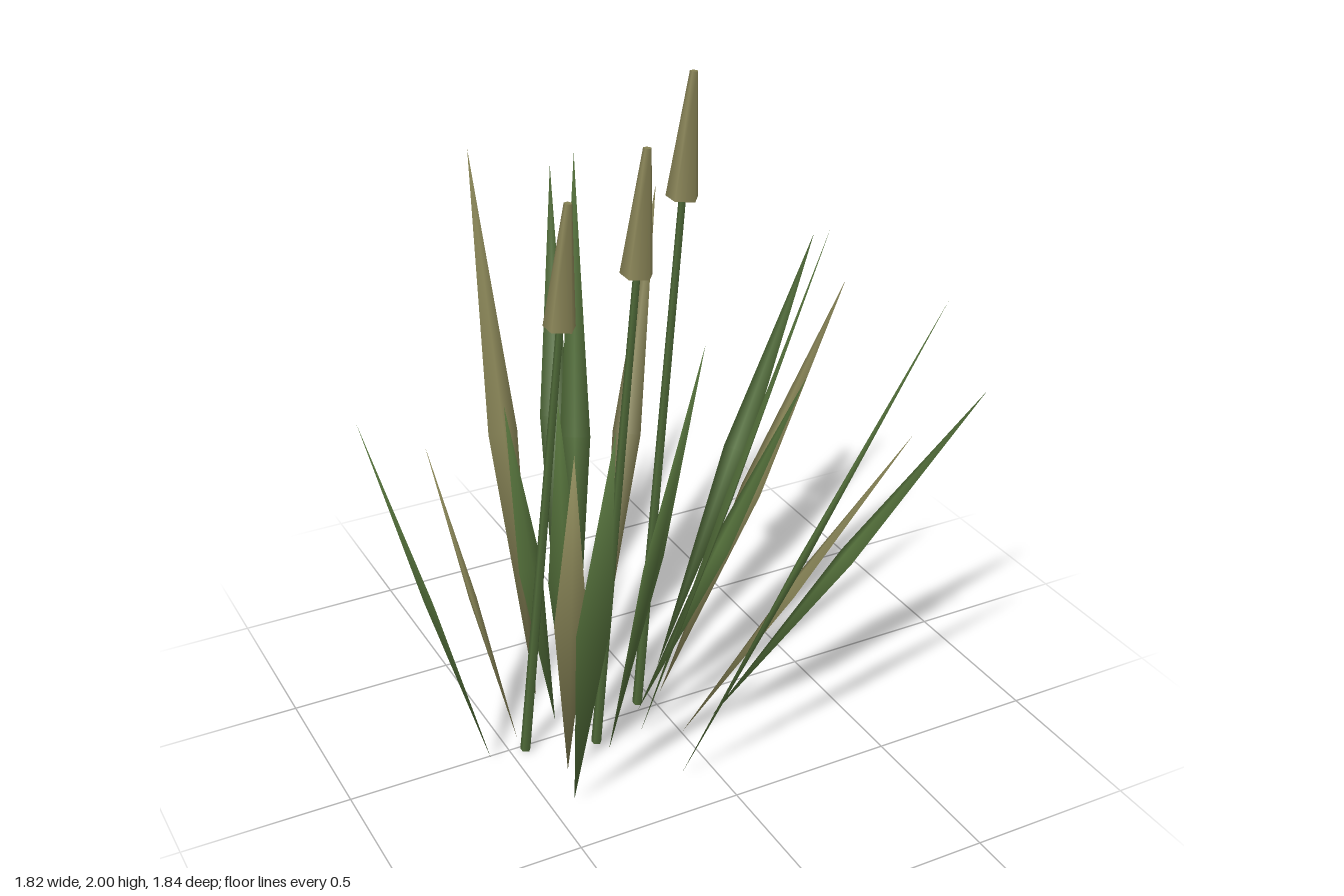
import * as THREE from 'three';

// Orients an object so its local y runs from a to b and its local x stays horizontal
function alignBetween(mesh, a, b) {
  const y = b.clone().sub(a).normalize();
  const x = new THREE.Vector3(y.z, 0, -y.x).normalize();
  const z = new THREE.Vector3().crossVectors(x, y);
  mesh.quaternion.setFromRotationMatrix(new THREE.Matrix4().makeBasis(x, y, z));
  mesh.position.copy(a).lerp(b, 0.5);
}

export function createModel() {
  const group = new THREE.Group();
  const material = (name, color) => {
    const m = new THREE.MeshStandardMaterial({ color });
    m.name = name;
    return m;
  };
  const green = material('leaf green', 0x536f3a);
  const dry = material('dry leaf', 0x8a8658);
  const stemGreen = material('stem green', 0x4c6636);
  const seed = material('seed head olive', 0x868154);

  // Leaves: slim flattened spindles, pointed at both ends
  // [base x, base z, tip x, tip y, tip z, dry?]
  const leaves = [
    [-0.18, -0.33, 0.10, 1.45, -0.92, 0],
    [-0.10, -0.21, 0.32, 1.45, -0.62, 1],
    [0.09, -0.17, 0.82, 1.24, -0.49, 0],
    [0.03, -0.04, 0.71, 1.24, -0.13, 1],
    [-0.07, 0.01, 0.49, 1.03, 0.02, 0],
    [0.12, 0.14, 0.91, 1.03, 0.34, 0],
    [0.00, 0.17, 0.56, 1.03, 0.47, 1],
    [-0.12, 0.12, 0.31, 1.67, 0.39, 0],
    [-0.10, 0.35, 0.31, 1.67, 0.92, 0],
    [-0.24, 0.15, -0.10, 1.45, 0.46, 0],
    [-0.43, 0.31, -0.52, 1.46, 0.79, 0],
    [-0.39, 0.18, -0.49, 1.24, 0.49, 1],
    [-0.33, 0.07, -0.40, 1.24, 0.20, 0],
    [-0.57, 0.03, -0.91, 1.23, 0.055, 0],
    [-0.46, -0.03, -0.67, 1.03, -0.10, 1],
    [-0.32, -0.06, -0.38, 1.03, -0.22, 0],
    [-0.32, -0.20, -0.30, 1.67, -0.61, 1],
    [-0.22, -0.12, -0.04, 1.67, -0.44, 0],
  ];
  const spindle = new THREE.SphereGeometry(1, 4, 2);
  for (const [bx, bz, tx, ty, tz, isDry] of leaves) {
    const a = new THREE.Vector3(bx, 0.01, bz);
    const b = new THREE.Vector3(tx, ty, tz);
    const leaf = new THREE.Mesh(spindle, isDry ? dry : green);
    leaf.name = isDry ? 'dryLeaf' : 'leaf';
    alignBetween(leaf, a, b);
    leaf.scale.set(0.046, a.distanceTo(b) / 2, 0.011);
    group.add(leaf);
  }

  // Stalks: leaning five-sided stem with a tapered seed head
  // [base x, z, head bottom x, head bottom y]
  const stalks = [
    [-0.455, 0.02, -0.307, 1.36],
    [-0.25, 0.085, -0.105, 1.50],
    [-0.05, -0.035, 0.098, 1.645],
  ];
  for (const [bx, z, hx, hy] of stalks) {
    const a = new THREE.Vector3(bx, 0, z);
    const b = new THREE.Vector3(hx, hy, z);
    const top = new THREE.Vector3(hx + 0.033, hy + 0.355, z);

    const stem = new THREE.Mesh(new THREE.CylinderGeometry(0.011, 0.016, a.distanceTo(b), 5), stemGreen);
    stem.name = 'stem';
    alignBetween(stem, a, b);
    group.add(stem);

    const head = new THREE.Mesh(new THREE.CylinderGeometry(0.012, 0.048, b.distanceTo(top), 5), seed);
    head.name = 'seedHead';
    alignBetween(head, b, top);
    group.add(head);
  }
  return group;
}
